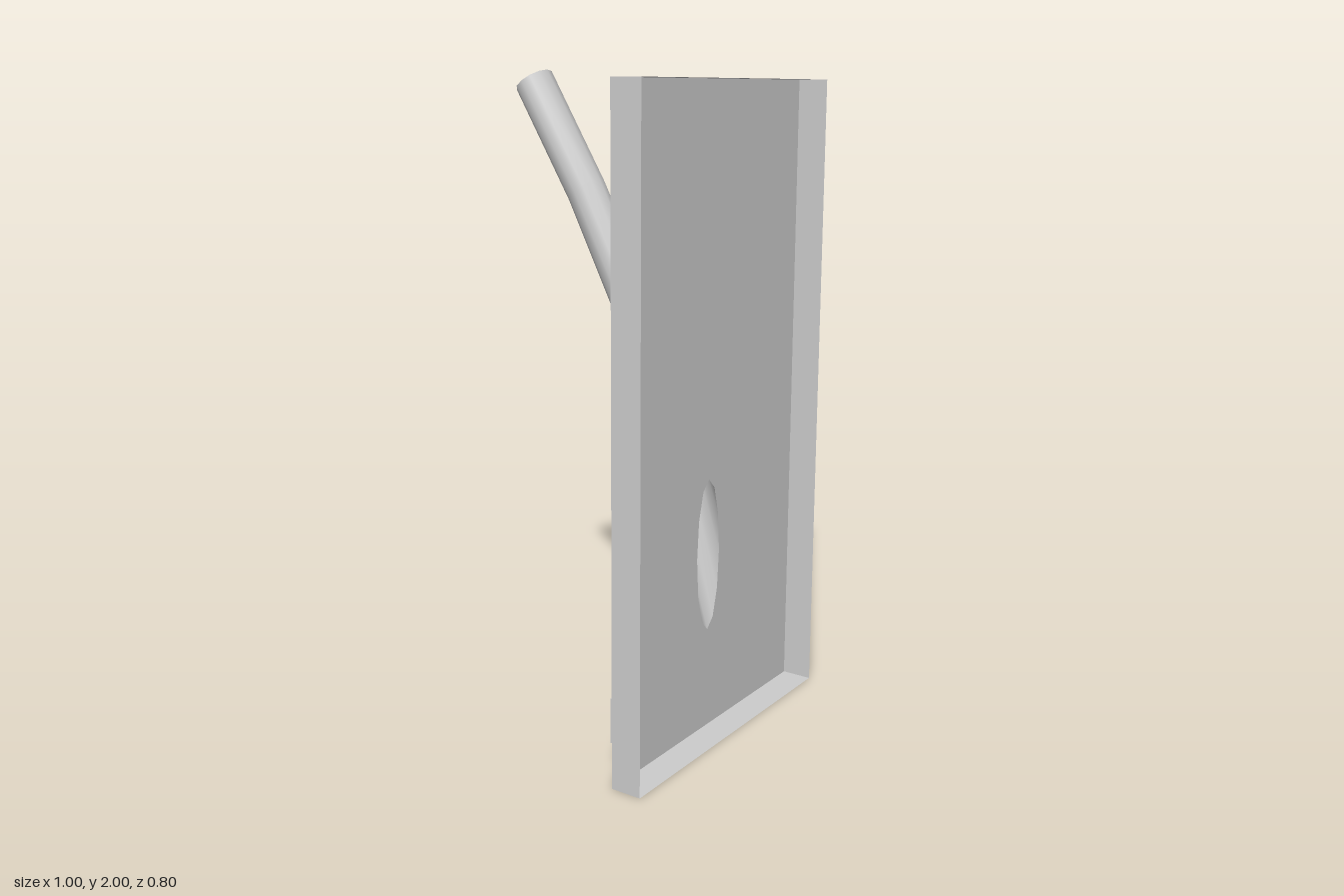
import * as THREE from 'three';

const W = 0.502, H = 1.97, FRONT = 0.4, BACK = 0.304, R = 0.0625, SIDES = 12;

export function createModel() {
  const model = new THREE.Group();
  model.name = 'panelWithPipe';
  const grey = new THREE.MeshStandardMaterial({ color: 0xcccccc, side: THREE.DoubleSide });
  grey.name = 'lightGrey';

  const add = (name, geometry, x = 0, y = 0, z = 0) => {
    const mesh = new THREE.Mesh(geometry, grey);
    mesh.name = name;
    mesh.position.set(x, y, z);
    model.add(mesh);
    return mesh;
  };

  // pipe outline in the side plane: [upper z, upper y, lower z, lower y]
  const rings = [
    [BACK, 0.796, BACK, 0.318],
    [0.223, 1.015, 0.108, 0.97],
    [0.06, 1.375, -0.048, 1.305],
    [-0.1, 1.675, -0.2, 1.605],
    [-0.298, 2.0, -0.4, 1.935],
  ];
  const ringPoint = ([uz, uy, lz, ly], j) => {
    const a = (j / SIDES) * Math.PI * 2, c = Math.cos(a) / 2;
    return [R * Math.sin(a), (uy + ly) / 2 + (uy - ly) * c, (uz + lz) / 2 + (uz - lz) * c];
  };

  // panel sheet, pierced where the pipe meets it
  const sheet = new THREE.Shape([
    new THREE.Vector2(-W, 0), new THREE.Vector2(W, 0),
    new THREE.Vector2(W, H), new THREE.Vector2(-W, H),
  ]);
  const hole = [];
  for (let j = 0; j < SIDES; j++) {
    const [x, y] = ringPoint(rings[0], j);
    hole.push(new THREE.Vector2(x, y));
  }
  sheet.holes.push(new THREE.Path(hole));
  add('panelSheet', new THREE.ShapeGeometry(sheet), 0, 0, BACK);

  // thin rim around the sheet, open to the front
  const depth = FRONT - BACK, mid = (FRONT + BACK) / 2;
  for (const s of [-1, 1]) {
    add(s > 0 ? 'leftRim' : 'rightRim',
      new THREE.PlaneGeometry(depth, H).rotateY(s * Math.PI / 2), s * W, H / 2, mid);
    add(s > 0 ? 'topRim' : 'bottomRim',
      new THREE.PlaneGeometry(2 * W, depth).rotateX(-s * Math.PI / 2), 0, s > 0 ? H : 0, mid);
    // small foot blocks on the back
    add(s > 0 ? 'leftBlock' : 'rightBlock',
      new THREE.BoxGeometry(0.14, 0.138, 0.066), s * 0.348, 0.158, BACK - 0.033);
  }

  // curved hollow pipe, open at both ends
  const pos = [], index = [];
  rings.forEach((ring, i) => {
    for (let j = 0; j < SIDES; j++) {
      pos.push(...ringPoint(ring, j));
      if (i === 0) continue;
      const k = (j + 1) % SIDES;
      const a = (i - 1) * SIDES + j, b = (i - 1) * SIDES + k;
      const c = i * SIDES + j, d = i * SIDES + k;
      index.push(a, b, c, b, d, c);
    }
  });
  // at j = 0 (upper/front side) a->b runs to +x and a->c runs up the pipe: faces outward
  const pipe = new THREE.BufferGeometry();
  pipe.setAttribute('position', new THREE.Float32BufferAttribute(pos, 3));
  pipe.setIndex(index);
  pipe.computeVertexNormals();
  add('pipe', pipe);

  return model;
}
